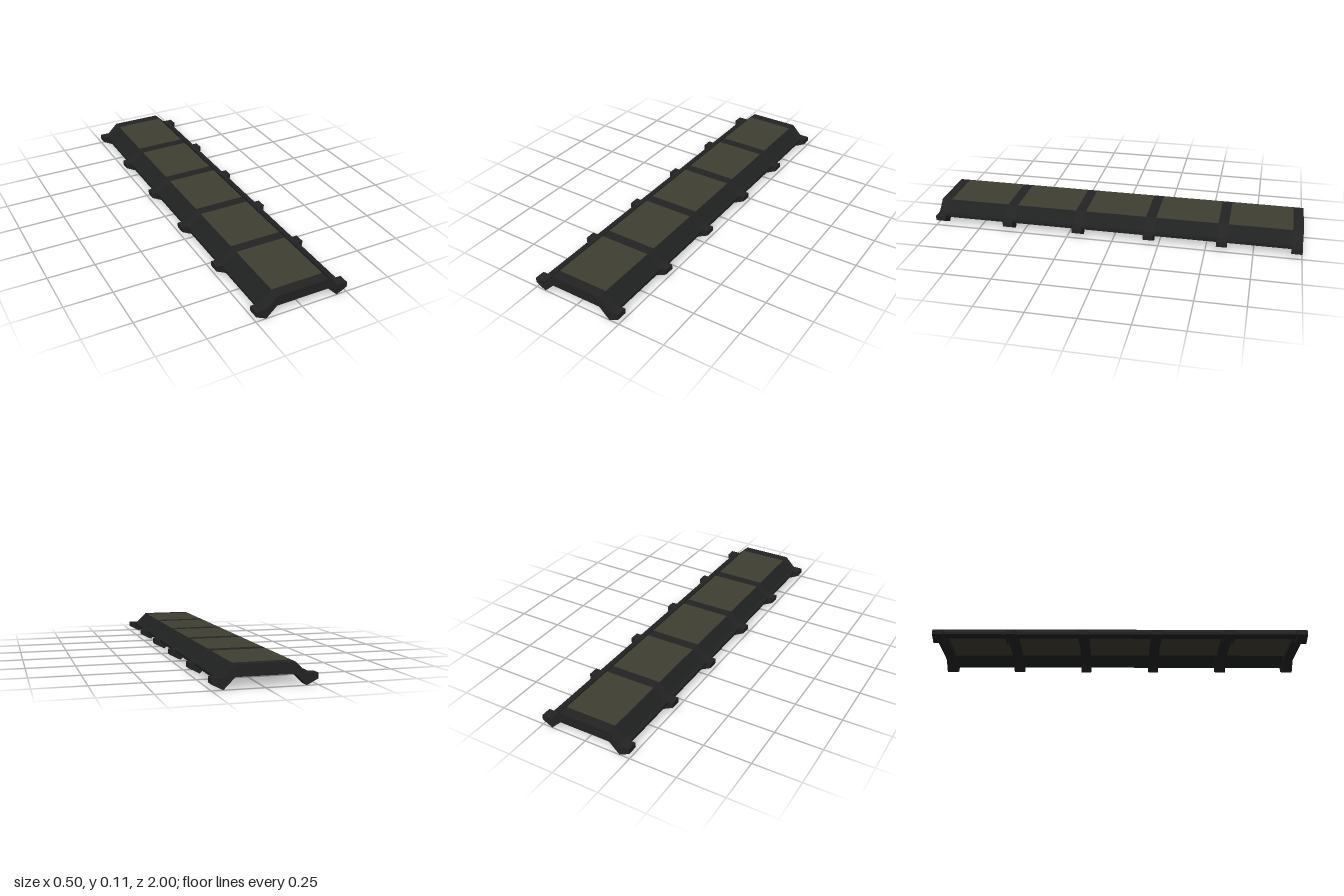
import * as THREE from 'three';

const LENGTH = 2;
const RIBS = 6;
const RIB_DEPTH = 0.055;

function material(name, color) {
  const m = new THREE.MeshStandardMaterial({ color });
  m.name = name;
  return m;
}

// Extrude an x-y outline along z between two positions
function extrudeBetween(points, z0, z1, mat, name) {
  const shape = new THREE.Shape(points.map(([x, y]) => new THREE.Vector2(x, y)));
  const geo = new THREE.ExtrudeGeometry(shape, { depth: z1 - z0, bevelEnabled: false });
  geo.translate(0, 0, z0);
  const mesh = new THREE.Mesh(geo, mat);
  mesh.name = name;
  return mesh;
}

const mirrored = (points) => points.map(([x, y]) => [-x, y]).reverse();

export function createModel() {
  const group = new THREE.Group();
  group.name = 'ribbedWalkway';

  const ribMat = material('charcoal', 0x232324);
  const railMat = material('dark grey', 0x202121);
  const panelMat = material('olive grey', 0x403f33);

  // Right half of the thick rib outline, completed by mirroring
  const ribHalf = [
    [0.14, 0.055], [0.195, 0], [0.25, 0.028], [0.25, 0.055], [0.195, 0.055], [0.14, 0.11],
  ];
  const ribOutline = [...ribHalf, ...mirrored(ribHalf)];

  // Thinner sloping side rail with a small outer flange
  const railOutline = [
    [0.14, 0.082], [0.194, 0.029], [0.222, 0.041], [0.222, 0.055], [0.195, 0.055], [0.14, 0.11],
  ];

  // Thin deck panel
  const panelOutline = [[-0.14, 0.083], [0.14, 0.083], [0.14, 0.11], [-0.14, 0.11]];

  const step = (LENGTH - RIB_DEPTH) / (RIBS - 1);
  for (let i = 0; i < RIBS; i++) {
    const z0 = -LENGTH / 2 + i * step;
    const z1 = z0 + RIB_DEPTH;
    group.add(extrudeBetween(ribOutline, z0, z1, ribMat, 'crossRib'));

    // Fill each bay between neighbouring ribs
    if (i < RIBS - 1) {
      const end = z0 + step;
      group.add(extrudeBetween(panelOutline, z1, end, panelMat, 'deckPanel'));
      group.add(extrudeBetween(railOutline, z1, end, railMat, 'leftRail'));
      group.add(extrudeBetween(mirrored(railOutline), z1, end, railMat, 'rightRail'));
    }
  }
  return group;
}
